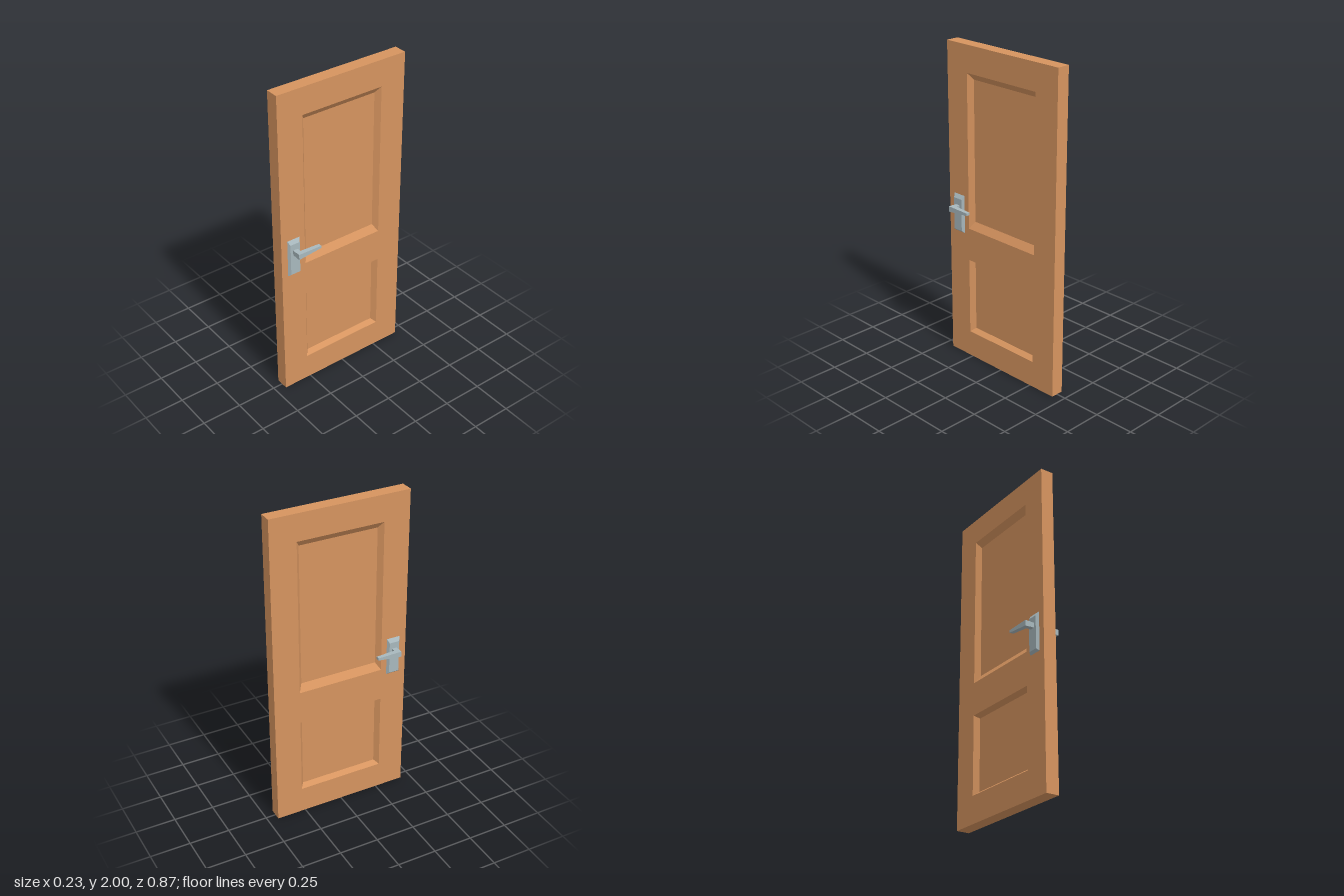
import * as THREE from 'three';

const T = 0.041, W = 0.436, H = 2, DEPTH = 0.03; // half thickness, half width, height, panel recess

const wood = new THREE.MeshStandardMaterial({ color: 0xd6945f });
const metal = new THREE.MeshStandardMaterial({ color: 0xa8b8bd });

// Four-cornered sections: across x (seen from +x) and across z (seen from -z)
const ringX = (x, z0, z1, y0, y1) => [[x, y0, z1], [x, y0, z0], [x, y1, z0], [x, y1, z1]];
const ringZ = (z, x0, x1, y0, y1) => [[x1, y0, z], [x0, y0, z], [x0, y1, z], [x1, y1, z]];

// Skin through sections, with optional flat ends
function loft(rings, capStart, capEnd) {
  const pos = [];
  const quad = (a, b, c, d) => pos.push(...a, ...b, ...c, ...a, ...c, ...d);
  for (let k = 0; k < rings.length - 1; k++) {
    for (let i = 0; i < 4; i++) {
      const j = (i + 1) % 4;
      quad(rings[k][i], rings[k][j], rings[k + 1][j], rings[k + 1][i]);
    }
  }
  if (capStart) quad(...[...rings[0]].reverse());
  if (capEnd) quad(...rings[rings.length - 1]);
  const g = new THREE.BufferGeometry();
  g.setAttribute('position', new THREE.Float32BufferAttribute(pos, 3));
  g.computeVertexNormals();
  return g;
}

// Mirror in x, keeping faces outward
function mirrored(geometry) {
  const g = geometry.index ? geometry.toNonIndexed() : geometry.clone();
  const p = g.attributes.position;
  const a = new THREE.Vector3(), b = new THREE.Vector3();
  for (let i = 0; i < p.count; i += 3) {
    a.fromBufferAttribute(p, i + 1);
    b.fromBufferAttribute(p, i + 2);
    p.setXYZ(i + 1, b.x, b.y, b.z);
    p.setXYZ(i + 2, a.x, a.y, a.z);
  }
  for (let i = 0; i < p.count; i++) p.setX(i, -p.getX(i));
  g.computeVertexNormals();
  return g;
}

function rectangle(Type, x0, x1, y0, y1) {
  const s = new Type();
  s.moveTo(x0, y0);
  s.lineTo(x1, y0);
  s.lineTo(x1, y1);
  s.lineTo(x0, y1);
  s.closePath();
  return s;
}

export function createModel() {
  const door = new THREE.Group();
  door.name = 'door';
  const add = (name, geometry, material) => {
    const mesh = new THREE.Mesh(geometry, material);
    mesh.name = name;
    door.add(mesh);
  };
  const addBothSides = (name, geometry, material) => {
    add(name + 'Left', geometry, material);
    add(name + 'Right', mirrored(geometry), material);
  };

  // Outer edges of the slab
  add('doorEdge', loft([ringX(-T, -W, W, 0, H), ringX(T, -W, W, 0, H)]), wood);

  // Panels: outer opening and inner field, as half width, bottom, top
  const panels = [
    { name: 'upperPanel', outer: [0.272, 0.868, 1.835], inner: [0.246, 0.912, 1.795] },
    { name: 'lowerPanel', outer: [0.272, 0.168, 0.66], inner: [0.248, 0.19, 0.64] },
  ];

  // Flat face with two openings
  const face = rectangle(THREE.Shape, -W, W, 0, H);
  for (const { outer: [w, y0, y1] } of panels) face.holes.push(rectangle(THREE.Path, -w, w, y0, y1));
  addBothSides('doorFace', new THREE.ShapeGeometry(face).rotateY(Math.PI / 2).translate(T, 0, 0), wood);

  // Recessed panels with sloping borders
  for (const { name, outer: [w, y0, y1], inner: [v, b0, b1] } of panels) {
    addBothSides(name, loft([ringX(T, -w, w, y0, y1), ringX(T - DEPTH, -v, v, b0, b1)], false, true), wood);
  }

  // Bevelled handle plate
  addBothSides('handlePlate', loft([
    ringX(T, 0.308, 0.394, 0.828, 1.07),
    ringX(0.057, 0.319, 0.383, 0.842, 1.046),
  ], false, true), metal);

  // Handle neck and tapering lever
  addBothSides('handleNeck', loft([
    ringX(0.056, 0.335, 0.366, 0.975, 1.006),
    ringX(0.09, 0.335, 0.366, 0.975, 1.006),
  ]), metal);
  addBothSides('handleLever', loft([
    ringZ(0.366, 0.084, 0.115, 0.973, 1.008),
    ringZ(0.21, 0.091, 0.115, 0.99, 1.005),
  ], true, true), metal);

  return door;
}
